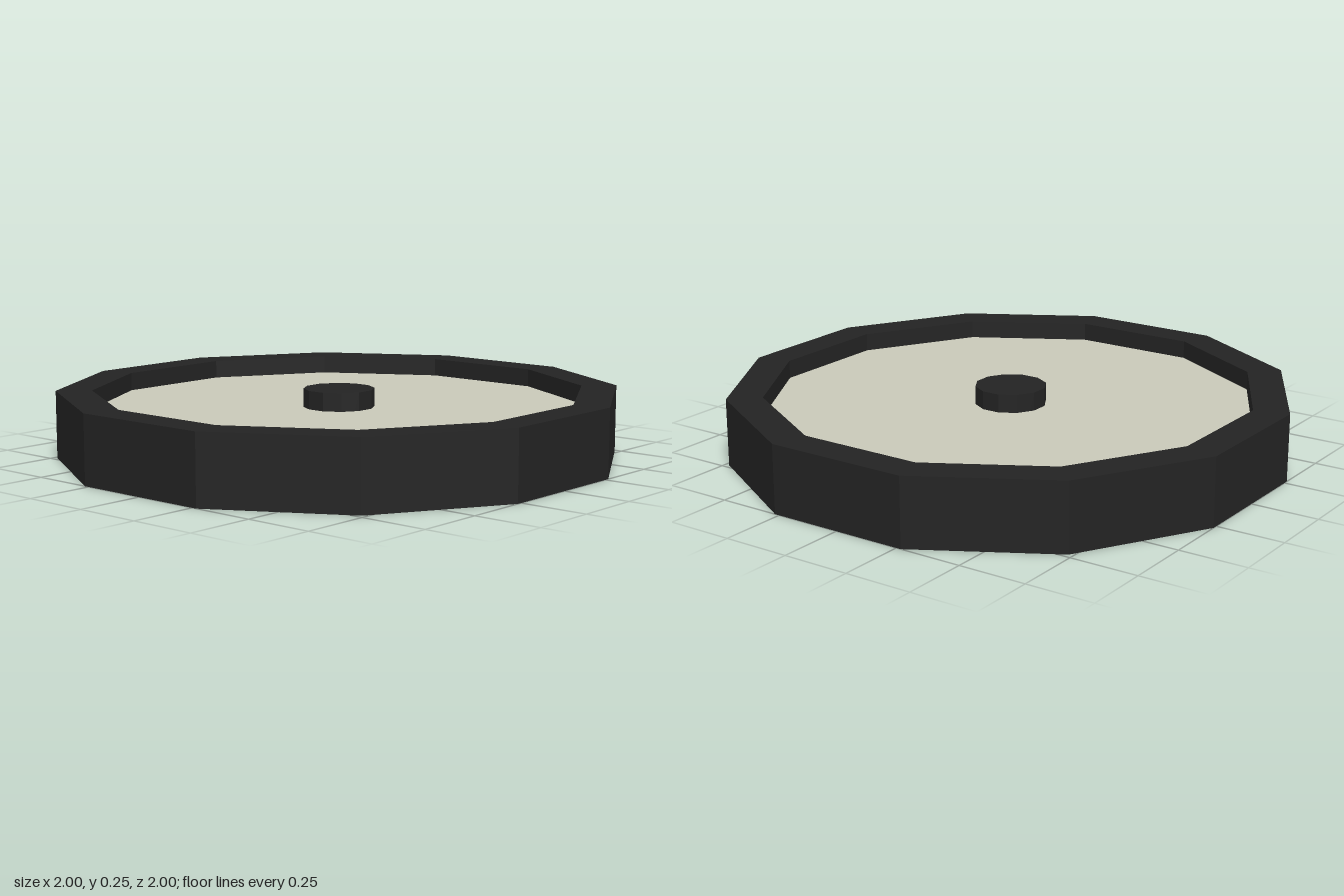
import * as THREE from 'three';

const SIDES = 12;
const HEIGHT = 0.25;
const TURN = Math.PI / SIDES; // puts flats, not corners, on the axes

// corner radius of a 12-sided outline from its flat-to-centre distance
const corner = (apothem) => apothem / Math.cos(Math.PI / SIDES);

export function createModel() {
  const black = new THREE.MeshStandardMaterial({ color: 0x232323, flatShading: true, side: THREE.DoubleSide });
  black.name = 'black';
  const cream = new THREE.MeshStandardMaterial({ color: 0xc8c8b8, flatShading: true, side: THREE.DoubleSide });
  cream.name = 'cream';

  const group = new THREE.Group();
  const add = (name, geometry, material, y) => {
    const mesh = new THREE.Mesh(geometry, material);
    mesh.name = name;
    mesh.position.y = y;
    group.add(mesh);
  };

  // Rim: hollow channel, open underneath
  const outer = corner(1), inner = corner(0.873);
  const profile = [[outer, 0], [outer, HEIGHT], [inner, HEIGHT], [inner, 0]]
    .map(([r, y]) => new THREE.Vector2(r, y));
  const rim = new THREE.LatheGeometry(profile, SIDES, TURN).toNonIndexed();
  rim.computeVertexNormals();
  add('rim', rim, black, 0);

  // Thin panel recessed inside the rim
  const panel = new THREE.CircleGeometry(inner, SIDES);
  panel.rotateX(-Math.PI / 2).rotateY(TURN);
  add('panel', panel, cream, 0.182);

  // Hub through the full height
  const hub = new THREE.CylinderGeometry(corner(0.127), corner(0.127), HEIGHT, SIDES, 1, false, TURN);
  add('hub', hub, black, HEIGHT / 2);

  return group;
}
